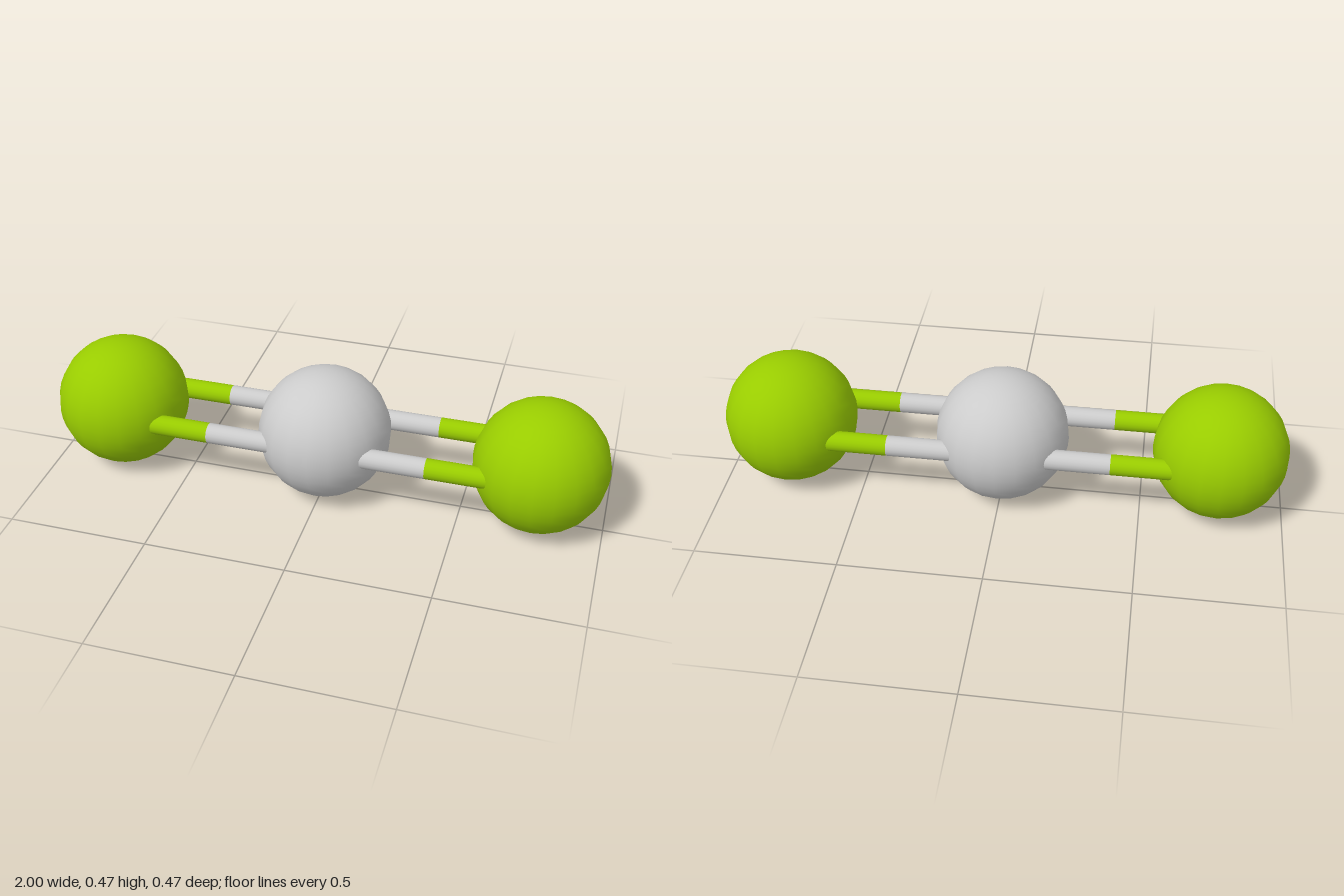
import * as THREE from 'three';

const RADIUS = 0.235;    // ball radius
const REACH = 0.765;     // distance from centre ball to outer ball
const SPLIT = 0.39;      // where the rods change colour
const ROD = 0.036;       // rod radius
const ROD_Z = 0.128;     // rod offset to front and back

export function createModel() {
  const model = new THREE.Group();
  model.name = 'ballAndStickModel';

  const grey = new THREE.MeshStandardMaterial({ color: 0xcccccc });
  const green = new THREE.MeshStandardMaterial({ color: 0x99cc00 });

  const ballGeometry = new THREE.SphereGeometry(RADIUS, 20, 20);

  function addBall(name, x, material) {
    const ball = new THREE.Mesh(ballGeometry, material);
    ball.name = name;
    ball.position.set(x, RADIUS, 0);
    model.add(ball);
  }

  // Rod section lying along x between two positions
  function addRod(name, x0, x1, z, material) {
    const geometry = new THREE.CylinderGeometry(ROD, ROD, Math.abs(x1 - x0), 20);
    geometry.rotateZ(Math.PI / 2);
    const rod = new THREE.Mesh(geometry, material);
    rod.name = name;
    rod.position.set((x0 + x1) / 2, RADIUS, z);
    model.add(rod);
  }

  addBall('centreBall', 0, grey);

  // Outer balls, each joined to the centre by a pair of two-coloured rods
  for (const [side, s] of [['left', 1], ['right', -1]]) {
    addBall(side + 'Ball', s * REACH, green);
    for (const [end, e] of [['Front', 1], ['Back', -1]]) {
      addRod(side + end + 'InnerRod', 0.1 * s, SPLIT * s, e * ROD_Z, grey);
      addRod(side + end + 'OuterRod', SPLIT * s, (REACH - 0.1) * s, e * ROD_Z, green);
    }
  }

  return model;
}
